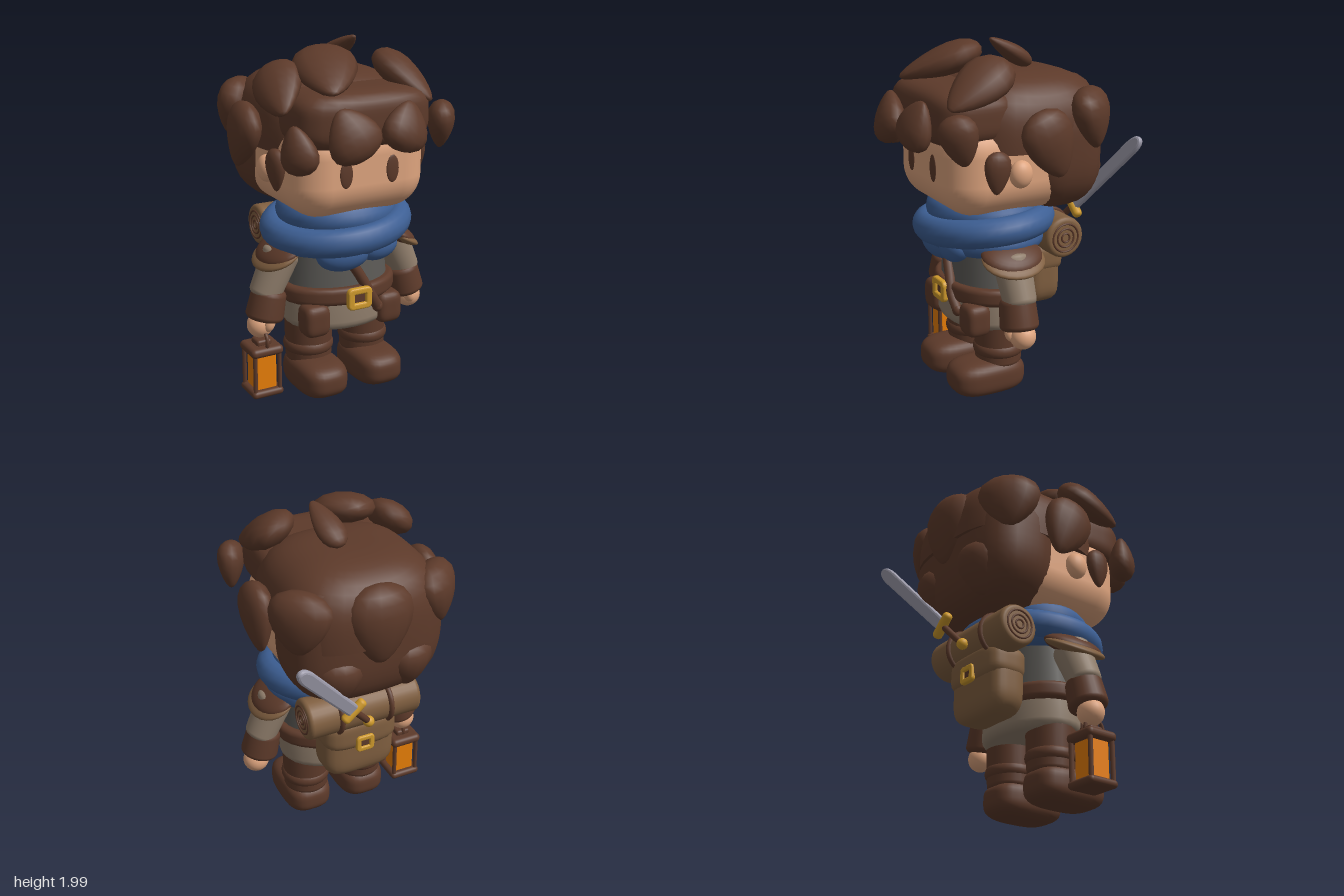
import * as THREE from 'three';
import { RoundedBoxGeometry } from 'three/addons/geometries/RoundedBoxGeometry.js';
import { mergeVertices } from 'three/addons/utils/BufferGeometryUtils.js';

const V = (a) => new THREE.Vector3(...a);
const mat = (name, color) => {
  const m = new THREE.MeshStandardMaterial({ color });
  m.name = name;
  return m;
};
// Moves the vertices of a sphere by a rule and smooths it again
const shapedSphere = (w, h, rule) => {
  let g = new THREE.SphereGeometry(1, w, h);
  const p = g.attributes.position;
  const v = new THREE.Vector3();
  for (let i = 0; i < p.count; i++) {
    rule(v.fromBufferAttribute(p, i));
    p.setXYZ(i, v.x, v.y, v.z);
  }
  g.deleteAttribute('uv');
  g.deleteAttribute('normal');
  g = mergeVertices(g, 1e-4);
  g.computeVertexNormals();
  return g;
};
const inflate = (v, p) =>
  v.multiplyScalar((Math.abs(v.x) ** p + Math.abs(v.y) ** p + Math.abs(v.z) ** p) ** (-1 / p));

export function createModel() {
  const root = new THREE.Group();
  root.name = 'adventurer';
  const brown = mat('brown leather and hair', 0x5d3a2a);
  const skin = mat('skin', 0xdea47e);
  const blue = mat('blue cloth', 0x3d5f94);
  const grey = mat('grey vest', 0x5c5a56);
  const linen = mat('linen', 0x8f7d6b);
  const canvas = mat('canvas', 0x805f40);
  const gold = mat('gold', 0xcf9a2c);
  const glow = mat('lantern glow', 0xf28408);
  const steel = mat('steel', 0x9f9dac);

  const add = (name, geo, material, pos = [0, 0, 0], rot = [0, 0, 0], scale = [1, 1, 1], parent = root) => {
    const m = new THREE.Mesh(geo, material);
    m.name = name;
    m.position.set(...pos);
    m.rotation.set(...rot);
    m.scale.set(...scale);
    parent.add(m);
    return m;
  };
  const mid = (a) => (a[0] + a[1]) / 2;
  // Rounded box and softer pillow shape, both given by their extents
  const box = (name, material, x, y, z, r, parent = root) =>
    add(name, new RoundedBoxGeometry(x[1] - x[0], y[1] - y[0], z[1] - z[0], 5, r), material,
      [mid(x), mid(y), mid(z)], [0, 0, 0], [1, 1, 1], parent);
  const pillow = (name, material, x, y, z, p) =>
    add(name, shapedSphere(36, 26, (v) => inflate(v, p)), material, [mid(x), mid(y), mid(z)], [0, 0, 0],
      [(x[1] - x[0]) / 2, (y[1] - y[0]) / 2, (z[1] - z[0]) / 2]);
  const ball = new THREE.SphereGeometry(1, 24, 16);
  const blob = (name, material, pos, scale, rot = [0, 0, 0]) => add(name, ball, material, pos, rot, scale);
  // Turned solid with rounded rims, centred on its own height
  const barrel = (r0, r1, h, b) => {
    const pts = [new THREE.Vector2(0, -h / 2)];
    for (const [r, s] of [[r0, -1], [r1, 1]])
      for (let i = 0; i <= 4; i++) {
        const a = ((s < 0 ? i : 4 - i) / 4) * Math.PI / 2;
        pts.push(new THREE.Vector2(r - b + b * Math.sin(a), s * (h / 2 - b + b * Math.cos(a))));
      }
    pts.push(new THREE.Vector2(0, h / 2));
    return new THREE.LatheGeometry(pts, 28);
  };
  const limb = (name, from, to, r0, r1, material) => {
    const d = V(to).sub(V(from));
    const m = add(name, barrel(r0, r1, d.length(), 0.03), material, V(from).addScaledVector(d, 0.5).toArray());
    m.quaternion.setFromUnitVectors(V([0, 1, 0]), d.normalize());
  };

  // Flattened lock of hair that narrows towards +y
  const drop = shapedSphere(14, 10, (v) => {
    const k = 0.94 - 0.36 * v.y;
    v.set(v.x * k, v.y, v.z * k);
  });
  const tuft = (pos, tip, normal, size) => {
    const m = add('hairTuft', drop, brown, pos, [0, 0, 0], [size[0] / 2, size[1] / 2, size[2] / 2]);
    const y = V(tip).normalize();
    const x = y.clone().cross(V(normal)).normalize();
    m.quaternion.setFromRotationMatrix(new THREE.Matrix4().makeBasis(x, y, x.clone().cross(y)));
  };

  // Head and hair masses
  box('head', skin, [-0.405, 0.405], [1.07, 1.6], [-0.36, 0.44], 0.19);
  const dome = shapedSphere(40, 32, (v) => {
    inflate(v, 3.2);
    v.y = Math.max(v.y, 0);
  });
  add('hairCap', dome, brown, [0, 1.42, -0.115], [0, 0, 0], [0.445, 0.4, 0.435]);
  pillow('hairBack', brown, [-0.445, 0.445], [1.03, 1.8], [-0.53, 0.0], 3);
  pillow('fringe', brown, [-0.395, 0.395], [1.45, 1.765], [0.02, 0.5], 4);

  // Loose locks: position, tip direction, outward direction, [width, length, thickness]
  tuft([-0.155, 1.84, 0.25], [-0.3, -0.3, 0.8], [-0.15, 0.9, 0.35], [0.35, 0.48, 0.17]);
  tuft([0.315, 1.78, 0.26], [0.2, -0.42, 0.75], [0.45, 0.8, 0.35], [0.29, 0.44, 0.17]);
  tuft([-0.4, 1.755, 0.18], [-0.2, -0.35, 0.6], [-0.6, 0.75, 0.2], [0.28, 0.4, 0.17]);
  tuft([0.085, 1.91, -0.05], [0.15, 0.5, 0.85], [0, 0.85, -0.5], [0.16, 0.31, 0.1]);
  tuft([-0.17, 1.565, 0.55], [-0.4, 0.9, -0.2], [-0.1, 0.1, 1], [0.3, 0.29, 0.16]);
  tuft([0.155, 1.575, 0.54], [0.3, 0.9, -0.2], [0.1, 0.1, 1], [0.28, 0.27, 0.15]);
  tuft([0, 1.53, -0.5], [0, -1, -0.1], [0, 0.1, -1], [0.38, 0.44, 0.22]);
  tuft([-0.41, 1.485, 0.425], [-0.15, 1, -0.15], [-1, 0.1, 0.7], [0.21, 0.26, 0.15]);
  tuft([0.445, 1.535, 0.43], [0.1, -1, -0.2], [1, 0.1, 0.7], [0.21, 0.27, 0.15]);
  for (const s of [-1, 1]) {
    tuft([s * 0.497, 1.475, -0.07], [s * 0.06, -1, -0.4], [s, 0.1, 0], [0.3, 0.38, 0.16]);
    tuft([s * 0.435, 1.34, 0.21], [0, -1, 0.05], [s, 0, 0.1], [0.15, 0.23, 0.09]);
    tuft([s * 0.39, 1.57, -0.385], [s * 0.15, -1, -0.15], [s, 0.15, -1], [0.35, 0.34, 0.21]);
    tuft([s * 0.21, 1.22, -0.435], [0, -1, 0.1], [s * 0.3, 0, -1], [0.28, 0.31, 0.22]);
    blob('ear', skin, [s * 0.42, 1.315, 0.063], [0.05, 0.075, 0.065]);
    blob('eye', brown, [s * 0.14, 1.33, 0.44], [0.038, 0.075, 0.009]);
  }

  // Scarf folds and hanging ends
  const fold = (R, t, y, tilt, dip, zs) => {
    const g = new THREE.TorusGeometry(R, t, 14, 40);
    g.rotateX(Math.PI / 2);
    add('scarfFold', g, blue, [0, y, 0.07], [dip, 0, tilt], [1, 1, zs]);
  };
  fold(0.26, 0.085, 1.045, 0, 0.03, 0.92);
  fold(0.358, 0.08, 0.965, 0.085, 0.07, 0.9);
  fold(0.32, 0.075, 0.915, -0.03, 0.02, 0.84);
  blob('scarfFill', blue, [0, 1.0, 0.07], [0.3, 0.1, 0.27]);
  blob('scarfDrape', blue, [-0.08, 0.85, 0.305], [0.165, 0.1, 0.085]);
  blob('scarfDrape', blue, [0.13, 0.865, 0.315], [0.12, 0.08, 0.075], [0, 0, 0.2]);

  // Torso, tunic and belt
  add('vest', barrel(0.31, 0.28, 0.42, 0.05), grey, [0, 0.74, 0.075], [0, 0, 0], [1, 1, 0.72]);
  add('tunicSkirt', barrel(0.325, 0.32, 0.2, 0.05), linen, [0, 0.49, 0.075], [0, 0, 0], [1, 1, 0.74]);
  add('belt', barrel(0.35, 0.35, 0.1, 0.03), brown, [0, 0.595, 0.075], [0, 0, 0], [1, 1, 0.74]);
  const strapPath = [[-0.22, 0.95, 0.2], [-0.04, 0.8, 0.28], [0.05, 0.66, 0.305], [0.09, 0.58, 0.315], [0.14, 0.5, 0.305]];
  add('chestStrap', new THREE.TubeGeometry(new THREE.CatmullRomCurve3(strapPath.map(V)), 20, 0.03, 8), brown);
  blob('strapEnd', brown, strapPath[4], [0.03, 0.035, 0.03]);

  // Buckle frame with rounded corners
  const rounded = (path, w, h, r) => {
    path.absarc(w - r, h - r, r, 0, Math.PI / 2);
    path.absarc(r - w, h - r, r, Math.PI / 2, Math.PI);
    path.absarc(r - w, r - h, r, Math.PI, Math.PI * 1.5);
    path.absarc(w - r, r - h, r, Math.PI * 1.5, Math.PI * 2);
    return path;
  };
  const frame = rounded(new THREE.Shape(), 0.064, 0.051, 0.018);
  frame.holes.push(rounded(new THREE.Path(), 0.047, 0.037, 0.014));
  const buckleGeo = new THREE.ExtrudeGeometry(frame, { depth: 0.014, bevelSize: 0.012, bevelThickness: 0.011, bevelSegments: 3, curveSegments: 5 });
  add('beltBuckle', buckleGeo, gold, [0, 0.585, 0.337]);
  box('buckleCentre', brown, [-0.04, 0.04], [0.555, 0.615], [0.32, 0.345], 0.01);

  for (const s of [-1, 1]) {
    // Arms
    limb('sleeve', [s * 0.46, 0.59, 0.08], [s * 0.34, 0.845, 0.08], 0.092, 0.105, linen);
    limb('cuff', [s * 0.465, 0.46, 0.09], [s * 0.425, 0.63, 0.085], 0.108, 0.1, brown);
    blob('hand', skin, [s * 0.485, 0.43, 0.082], [0.075, 0.074, 0.072]);
    blob('thumb', skin, [s * 0.455, 0.45, 0.14], [0.032, 0.05, 0.035], [0, 0, s * 0.3]);
    blob('shoulderPadTrim', canvas, [s * 0.375, 0.832, 0.08], [0.145, 0.036, 0.185], [0, 0, -s * 0.5]);
    blob('shoulderPad', brown, [s * 0.355, 0.855, 0.08], [0.14, 0.055, 0.178], [0, 0, -s * 0.5]);
    // Hip pouches
    pillow('hipPouch', brown, [s * 0.23 - 0.078, s * 0.23 + 0.078], [0.375, 0.56], [0.17, 0.315], 4);
    // Legs and boots
    add('leg', barrel(0.132, 0.138, 0.28, 0.03), brown, [s * 0.176, 0.3, 0.068]);
    add('bootCuff', barrel(0.144, 0.144, 0.08, 0.035), brown, [s * 0.178, 0.257, 0.068]);
    pillow('boot', brown, [s * 0.178 - 0.142, s * 0.178 + 0.142], [0, 0.205], [-0.07, 0.37], 3.2);
  }

  // Backpack
  pillow('packBody', canvas, [-0.215, 0.215], [0.45, 0.82], [-0.34, -0.11], 4.2);
  pillow('packFlap', canvas, [-0.222, 0.222], [0.64, 0.84], [-0.36, -0.1], 4.2);
  add('packBuckle', buckleGeo, gold, [0, 0.69, -0.355], [0, Math.PI, 0], [0.72, 0.8, 0.8]);
  box('packBuckleCentre', brown, [-0.028, 0.028], [0.667, 0.713], [-0.365, -0.34], 0.008);

  // Bedroll with coiled ends and ties
  const roll = [0, 0.89, -0.27];
  add('bedroll', barrel(0.118, 0.118, 0.68, 0.025), canvas, roll, [0, 0, Math.PI / 2]);
  for (const s of [-1, 1]) {
    for (const r of [0.025, 0.052, 0.08])
      add('bedrollCoil', new THREE.TorusGeometry(r, 0.006, 6, 28), brown, [s * 0.34, roll[1], roll[2]], [0, Math.PI / 2, 0]);
    add('bedrollTie', new THREE.TorusGeometry(0.118, 0.016, 8, 32), brown, [s * 0.15, roll[1], roll[2]], [0, Math.PI / 2, 0]);
  }

  // Sword slung across the back, built along +y from the pommel
  const sword = new THREE.Group();
  sword.name = 'sword';
  const pommel = V([0, 0.86, -0.4]);
  const axis = V([0.505, 1.45, -0.63]).sub(pommel);
  const length = axis.length();
  axis.normalize();
  const side = axis.clone().cross(V([0, 0, -1])).normalize();
  sword.quaternion.setFromRotationMatrix(new THREE.Matrix4().makeBasis(side, axis, side.clone().cross(axis)));
  sword.position.copy(pommel);
  root.add(sword);
  const w = 0.026;
  const blade = new THREE.Shape();
  blade.moveTo(-w, 0.2);
  blade.lineTo(w, 0.2);
  blade.lineTo(w + 0.004, length - 0.08);
  blade.quadraticCurveTo(w, length - 0.012, 0, length - 0.012);
  blade.quadraticCurveTo(-w, length - 0.012, -w - 0.004, length - 0.08);
  add('blade', new THREE.ExtrudeGeometry(blade, { depth: 0.008, bevelSize: 0.012, bevelThickness: 0.013, bevelSegments: 2 }),
    steel, [0, 0, -0.004], [0, 0, 0], [1, 1, 1], sword);
  add('guard', barrel(0.028, 0.028, 0.16, 0.02), gold, [0, 0.19, 0], [0, 0, Math.PI / 2], [1, 1, 1], sword);
  add('grip', barrel(0.019, 0.019, 0.19, 0.008), brown, [0, 0.095, 0], [0, 0, 0], [1, 1, 1], sword);
  add('pommel', ball, gold, [0, 0, 0], [0, 0, 0], [0.032, 0.032, 0.032], sword);

  // Lantern hanging from the right hand
  const lantern = new THREE.Group();
  lantern.name = 'lantern';
  lantern.position.set(-0.48, 0, 0.085);
  root.add(lantern);
  box('lanternBase', brown, [-0.095, 0.095], [0.02, 0.065], [-0.095, 0.095], 0.022, lantern);
  box('lanternRoof', brown, [-0.097, 0.097], [0.265, 0.32], [-0.097, 0.097], 0.026, lantern);
  box('lanternKnob', brown, [-0.045, 0.045], [0.31, 0.35], [-0.045, 0.045], 0.015, lantern);
  box('lanternGlass', glow, [-0.064, 0.064], [0.05, 0.28], [-0.064, 0.064], 0.015, lantern);
  for (const x of [-0.074, 0.074])
    for (const z of [-0.074, 0.074])
      add('lanternPost', new THREE.CylinderGeometry(0.013, 0.013, 0.24, 8), brown, [x, 0.165, z], [0, 0, 0], [1, 1, 1], lantern);
  add('lanternHandle', new THREE.TorusGeometry(0.06, 0.011, 8, 20), brown, [0, 0.345, 0.02], [0, Math.PI / 2, 0], [1, 1, 1], lantern);

  return root;
}
